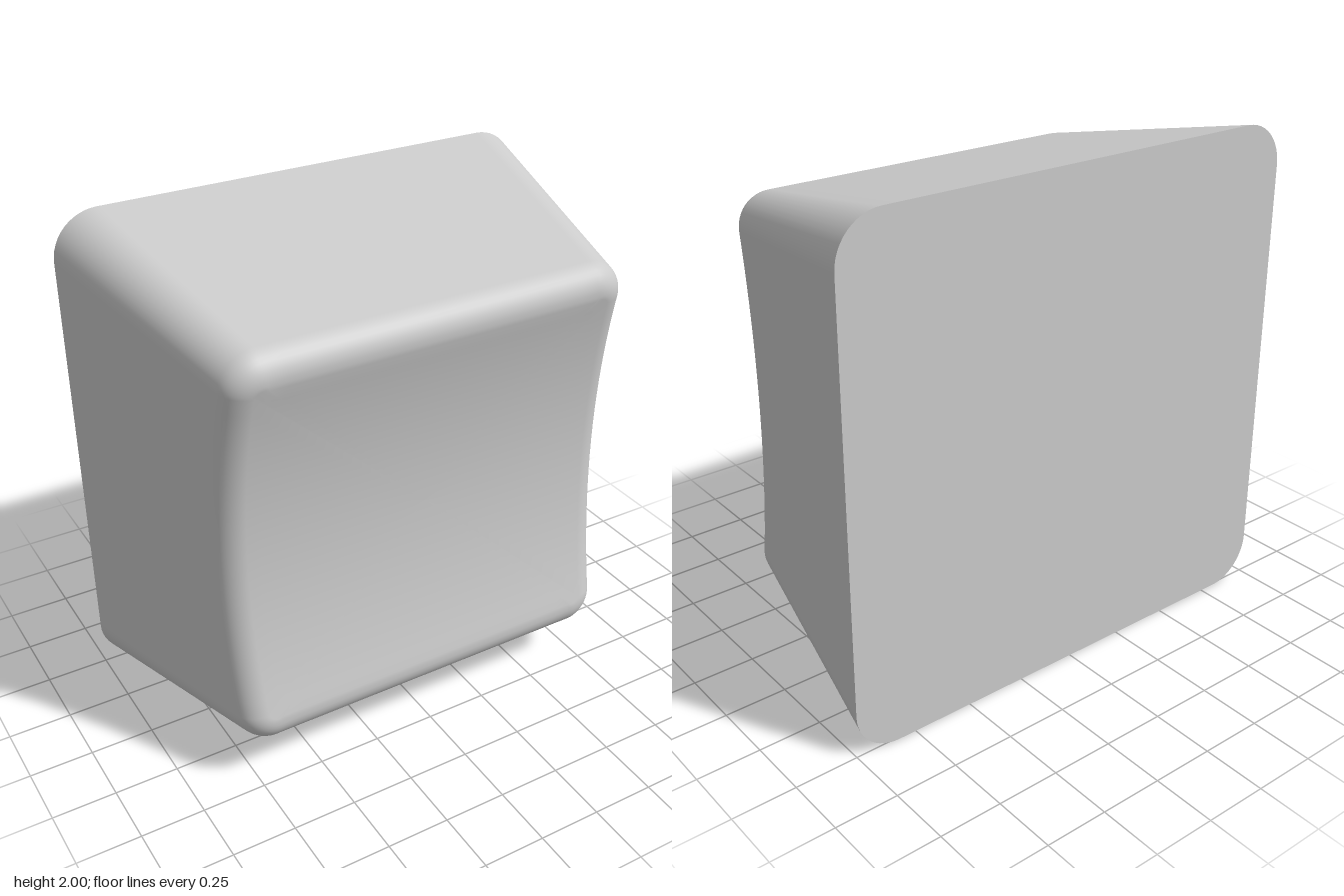
import * as THREE from 'three';

const BACK = -0.51, FRONT = 0.54;   // depth of the tapered walls
const DISH_R = 2.65, DISH_Z = 0.42; // cylindrical scoop of the front face
const FILLET = 0.1;                 // rounding between walls and scoop
const SIDE = 20, CORNER = 12, ARC = 10, RINGS = 14;

const dishZ = y => DISH_Z + DISH_R - Math.sqrt(DISH_R ** 2 - (y - 1) ** 2);
const dishSlope = y => (y - 1) / Math.sqrt(DISH_R ** 2 - (y - 1) ** 2);

// Rounded square, counter-clockwise seen from the front, centred on y = 1
function outline(half, radius, z) {
  const points = [], c = half - radius;
  for (let q = 0; q < 4; q++) {
    const a0 = q * Math.PI / 2;
    const centre = new THREE.Vector2(c, c).rotateAround(new THREE.Vector2(), a0);
    for (let i = 0; i <= CORNER; i++) {
      const a = a0 + (i / CORNER) * Math.PI / 2;
      points.push(new THREE.Vector3(centre.x + radius * Math.cos(a), 1 + centre.y + radius * Math.sin(a), z));
    }
    // straight run towards the next corner
    const start = points[points.length - 1];
    const step = new THREE.Vector3(-Math.sin(a0 + Math.PI / 2 - Math.PI / 2) , 0, 0)
      .set(-Math.cos(a0), -Math.sin(a0), 0).multiplyScalar(2 * c / SIDE);
    for (let i = 1; i < SIDE; i++) points.push(start.clone().addScaledVector(step, i));
  }
  return points;
}

// Inward direction at each outline point (matches the order of outline())
function inwardNormals() {
  const normals = [];
  for (let q = 0; q < 4; q++) {
    for (let i = 0; i < CORNER + SIDE; i++) {
      const a = (q + Math.min(i / CORNER, 1)) * Math.PI / 2;
      normals.push(new THREE.Vector3(-Math.cos(a), -Math.sin(a), 0));
    }
  }
  return normals;
}

// One strip running from the back rim up the wall, round the fillet and into the scoop
function strip(p0, p1, inward) {
  const points = [p0.clone()];
  let t = 1;
  const corner = new THREE.Vector3();
  for (let i = 0; i < 12; i++) {
    corner.lerpVectors(p0, p1, t);
    t = (dishZ(corner.y) - BACK) / (FRONT - BACK);
  }
  const a = p0.clone().sub(p1).normalize();
  const b = inward.clone().setZ(dishSlope(corner.y) * inward.y).normalize();
  const theta = a.angleTo(b);
  const centre = a.clone().add(b).normalize().multiplyScalar(FILLET / Math.sin(theta / 2)).add(corner);
  const reach = FILLET / Math.tan(theta / 2);
  const n0 = corner.clone().addScaledVector(a, reach).sub(centre);
  const n1 = corner.clone().addScaledVector(b, reach).sub(centre);
  const turn = n0.angleTo(n1);
  for (let i = 0; i <= ARC; i++) {
    const s = i / ARC;
    points.push(centre.clone()
      .addScaledVector(n0, Math.sin((1 - s) * turn) / Math.sin(turn))
      .addScaledVector(n1, Math.sin(s * turn) / Math.sin(turn)));
  }
  const edge = points[points.length - 1];
  edge.z = dishZ(edge.y);
  for (let i = 1; i <= RINGS; i++) {
    const s = 1 - i / RINGS, y = 1 + (edge.y - 1) * s;
    points.push(new THREE.Vector3(edge.x * s, y, dishZ(y)));
  }
  return points;
}

export function createModel() {
  const group = new THREE.Group();
  group.name = 'keycap';
  const material = new THREE.MeshStandardMaterial({ color: 0xcccccc });

  // Tapered shell with the scooped front
  const back = outline(1, 0.18, BACK), front = outline(0.79, 0.13, FRONT);
  const normals = inwardNormals();
  const strips = back.map((p, i) => strip(p, front[i], normals[i]));
  const rows = strips[0].length, count = strips.length;
  const positions = strips.flatMap(s => s.flatMap(p => p.toArray()));
  const index = [];
  for (let i = 0; i < count; i++) {
    const j = (i + 1) % count;
    for (let k = 0; k < rows - 1; k++) {
      const a = i * rows + k, b = j * rows + k;
      index.push(a, b, b + 1);
      if (k < rows - 2) index.push(a, b + 1, a + 1);
    }
  }
  const shellGeometry = new THREE.BufferGeometry();
  shellGeometry.setAttribute('position', new THREE.Float32BufferAttribute(positions, 3));
  shellGeometry.setIndex(index);
  shellGeometry.computeVertexNormals();
  const shell = new THREE.Mesh(shellGeometry, material);
  shell.name = 'shell';
  group.add(shell);

  // Flat back plate, turned to face -z
  const plateShape = new THREE.Shape(back.map(p => new THREE.Vector2(p.x, p.y)));
  const plate = new THREE.Mesh(new THREE.ShapeGeometry(plateShape), material);
  plate.name = 'backPlate';
  plate.rotation.y = Math.PI;
  plate.position.z = BACK;
  group.add(plate);

  return group;
}
